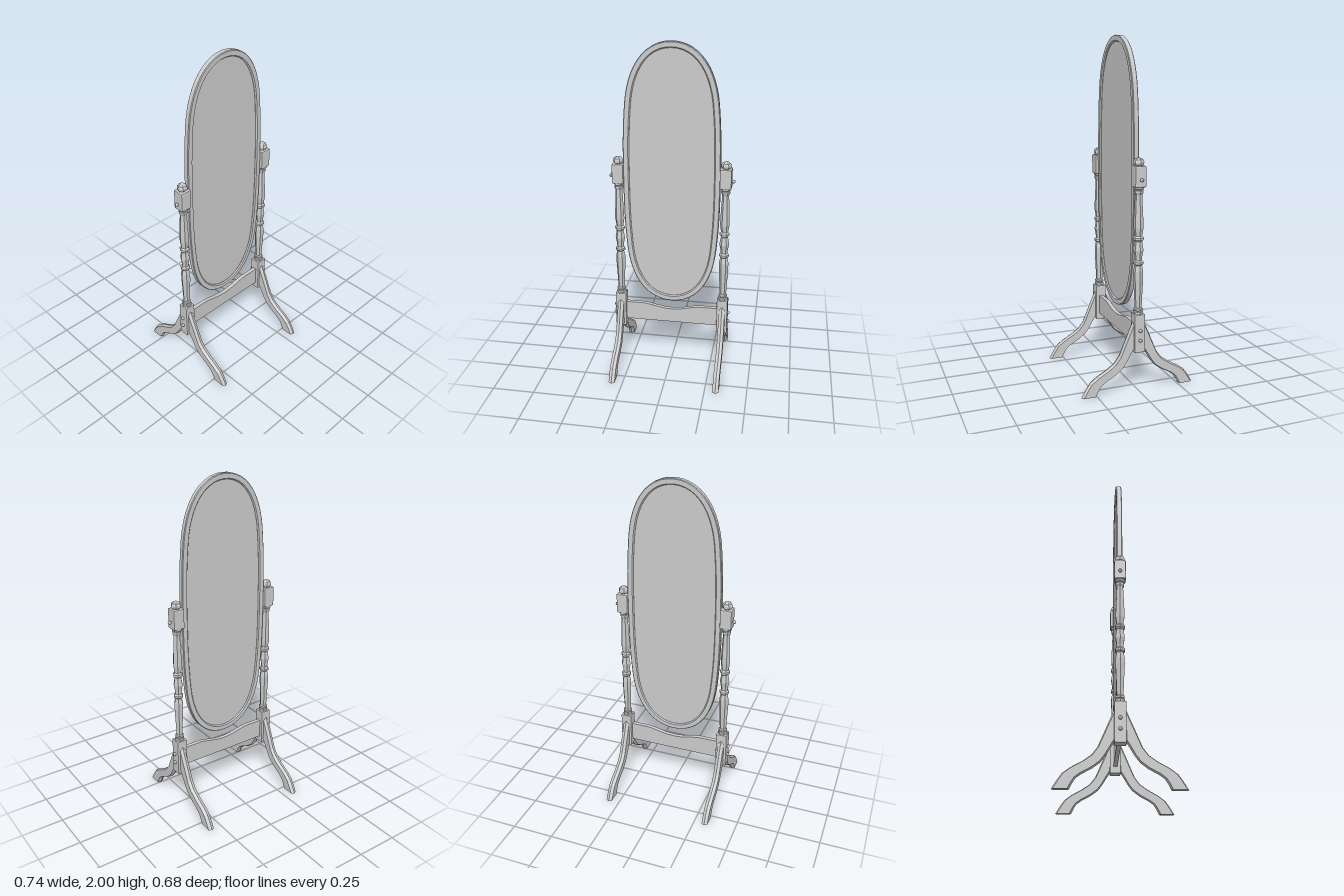
import * as THREE from 'three';
import { RoundedBoxGeometry } from 'three/addons/geometries/RoundedBoxGeometry.js';

const POST_X = 0.316, POST_Z = -0.003;
const flat = () => new THREE.MeshStandardMaterial({ color: 0xcccccc, flatShading: true });
const smooth = () => new THREE.MeshStandardMaterial({ color: 0xcccccc });
const V2 = (x, y) => new THREE.Vector2(x, y);

function add(parent, name, geometry, material, x = 0, y = 0, z = 0) {
  const mesh = new THREE.Mesh(geometry, material);
  mesh.name = name;
  mesh.position.set(x, y, z);
  parent.add(mesh);
  return mesh;
}

// Skin a list of equal-length rings; rings are counter-clockwise seen against the travel direction.
function skin(rings, { closed = false, caps = false } = {}) {
  const n = rings[0].length, m = rings.length, index = [];
  for (let i = 0; i < (closed ? m : m - 1); i++) {
    for (let j = 0; j < n; j++) {
      const a = i * n + j, b = i * n + (j + 1) % n;
      const c = ((i + 1) % m) * n + j, d = ((i + 1) % m) * n + (j + 1) % n;
      index.push(a, b, d, a, d, c);
    }
  }
  if (caps) {
    const last = (m - 1) * n;
    for (let j = 1; j < n - 1; j++) index.push(0, j + 1, j, last, last + j, last + j + 1);
  }
  const g = new THREE.BufferGeometry();
  g.setAttribute('position', new THREE.Float32BufferAttribute(rings.flat(2), 3));
  g.setIndex(index);
  g.computeVertexNormals();
  return g;
}

// Long oval around the origin, counter-clockwise, mirrored from one quarter.
function ovalPoints() {
  const quarter = new THREE.CurvePath();
  quarter.add(new THREE.CubicBezierCurve(V2(0.285, 0), V2(0.285, 0.2), V2(0.282, 0.3), V2(0.268, 0.45)));
  quarter.add(new THREE.CubicBezierCurve(V2(0.268, 0.45), V2(0.245, 0.67), V2(0.14, 0.79), V2(0, 0.79)));
  const q = quarter.getSpacedPoints(24);
  const half = [...q, ...q.slice(0, -1).reverse().map(p => V2(-p.x, p.y))];
  return [...half, ...half.slice(1, -1).reverse().map(p => V2(p.x, -p.y))];
}

function insetOval(points, d) {
  const n = points.length;
  return points.map((p, i) => {
    const t = points[(i + 1) % n].clone().sub(points[(i + n - 1) % n]).normalize();
    return V2(p.x - t.y * d, p.y + t.x * d);
  });
}

function buildMirror() {
  const mirror = new THREE.Group();
  mirror.name = 'mirror';
  mirror.position.y = 1.21;
  const oval = ovalPoints();
  // Frame moulding: inset from the outer edge, z
  const profile = [[0, -0.016], [0.004, -0.02], [0.03, -0.02], [0.036, -0.013],
    [0.036, 0.006], [0.03, 0.013], [0.004, 0.013], [0, 0.009]];
  const loops = profile.map(([d, z]) => insetOval(oval, d).map(p => [p.x, p.y, z]));
  const rings = oval.map((_, i) => loops.map(loop => loop[i]));
  add(mirror, 'mirrorFrame', skin(rings, { closed: true }), flat());
  // Glass and backing as one thin recessed panel
  const panel = new THREE.ExtrudeGeometry(new THREE.Shape(insetOval(oval, 0.034)),
    { depth: 0.016, bevelEnabled: false });
  add(mirror, 'mirrorPanel', panel, flat(), 0, 0, -0.012);
  return mirror;
}

function buildLeg() {
  // Top and underside edges as [z, y] pairs, from the post down to the foot
  const outer = [[0.02, 0.43], [0.037, 0.4], [0.075, 0.31], [0.115, 0.215], [0.145, 0.175],
    [0.19, 0.143], [0.25, 0.11], [0.29, 0.08], [0.315, 0.045], [0.342, 0]];
  const inner = [[0, 0.3], [0.015, 0.26], [0.04, 0.225], [0.075, 0.168], [0.1, 0.135],
    [0.14, 0.105], [0.195, 0.075], [0.222, 0.055], [0.238, 0.03], [0.252, 0]];
  const w = 0.018;
  const rings = outer.map(([oz, oy], i) => {
    const [iz, iy] = inner[i];
    const at = (x, t) => [x, oy + (iy - oy) * t, oz + (iz - oz) * t];
    return [at(0, 0), at(-w, 0.12), at(-w, 0.9), at(0, 1), at(w, 0.9), at(w, 0.12)];
  });
  return skin(rings, { caps: true });
}

function buildStand(side) {
  const stand = new THREE.Group();
  stand.name = side > 0 ? 'leftStand' : 'rightStand';
  stand.position.set(side * POST_X, 0, POST_Z);

  // Square blocks for the pivot and the feet
  add(stand, 'pivotBlock', new RoundedBoxGeometry(0.068, 0.118, 0.066, 1, 0.006), flat(), 0, 1.232);
  add(stand, 'legBlock', new RoundedBoxGeometry(0.066, 0.222, 0.064, 1, 0.005), flat(), 0, 0.341);

  // Six-sided turned spindle, radius and height
  const spindle = [[0.026, 0.445], [0.029, 0.455], [0.029, 0.466], [0.023, 0.47], [0.027, 0.475],
    [0.027, 0.485], [0.02, 0.49], [0.022, 0.54], [0.028, 0.66], [0.028, 0.7], [0.021, 0.733],
    [0.03, 0.741], [0.03, 0.753], [0.02, 0.762], [0.022, 0.785], [0.029, 0.82], [0.021, 0.868],
    [0.03, 0.88], [0.03, 0.89], [0.021, 0.9], [0.028, 0.945], [0.027, 0.99], [0.02, 1.13],
    [0.027, 1.143], [0.027, 1.153], [0.023, 1.157], [0.03, 1.162], [0.03, 1.18]];
  const finial = [[0.022, 1.285], [0.022, 1.292], [0.029, 1.3], [0.03, 1.311], [0.025, 1.324],
    [0.013, 1.332], [0, 1.334]];
  for (const [name, pts] of [['spindle', spindle], ['finial', finial]]) {
    const g = new THREE.LatheGeometry(pts.map(p => V2(...p)), 6);
    g.rotateY(Math.PI / 6);
    add(stand, name, g, flat());
  }

  // Pivot knob and bolt heads on the outer face
  for (const [name, y, r, reach] of [['pivotKnob', 1.215, 0.01, 0.053],
    ['upperBolt', 0.36, 0.01, 0.046], ['lowerBolt', 0.302, 0.01, 0.046]]) {
    const pts = [[0, 0], [r * 0.6, 0], [r * 0.6, reach - 0.015], [r, reach - 0.012],
      [r, reach - 0.005], [r * 0.6, reach - 0.001], [0, reach]];
    const g = new THREE.LatheGeometry(pts.map(p => V2(...p)), 10);
    add(stand, name, g, smooth(), 0, y).rotation.z = -side * Math.PI / 2;
  }
  // Pin from the block to the mirror frame
  const pin = new THREE.CylinderGeometry(0.007, 0.007, 0.03, 10);
  add(stand, 'pivotPin', pin, smooth(), -side * 0.036, 1.215).rotation.z = Math.PI / 2;

  // Front and back curved legs
  for (const [name, turn] of [['frontLeg', 0], ['backLeg', Math.PI]]) {
    add(stand, name, buildLeg(), flat()).rotation.y = turn;
  }
  return stand;
}

function buildRail() {
  const s = new THREE.Shape();
  s.moveTo(-0.29, 0.27);
  s.lineTo(0.29, 0.27);
  s.lineTo(0.29, 0.387);
  s.lineTo(0.17, 0.387);
  s.bezierCurveTo(0.11, 0.38, 0.07, 0.36, 0, 0.36);
  s.bezierCurveTo(-0.07, 0.36, -0.11, 0.38, -0.17, 0.387);
  s.lineTo(-0.29, 0.387);
  s.closePath();
  return new THREE.ExtrudeGeometry(s, { depth: 0.024, bevelEnabled: false, curveSegments: 8 });
}

export function createModel() {
  const model = new THREE.Group();
  model.name = 'chevalMirror';
  model.add(buildMirror(), buildStand(1), buildStand(-1));
  add(model, 'crossRail', buildRail(), flat(), 0, 0, POST_Z - 0.012);
  return model;
}
